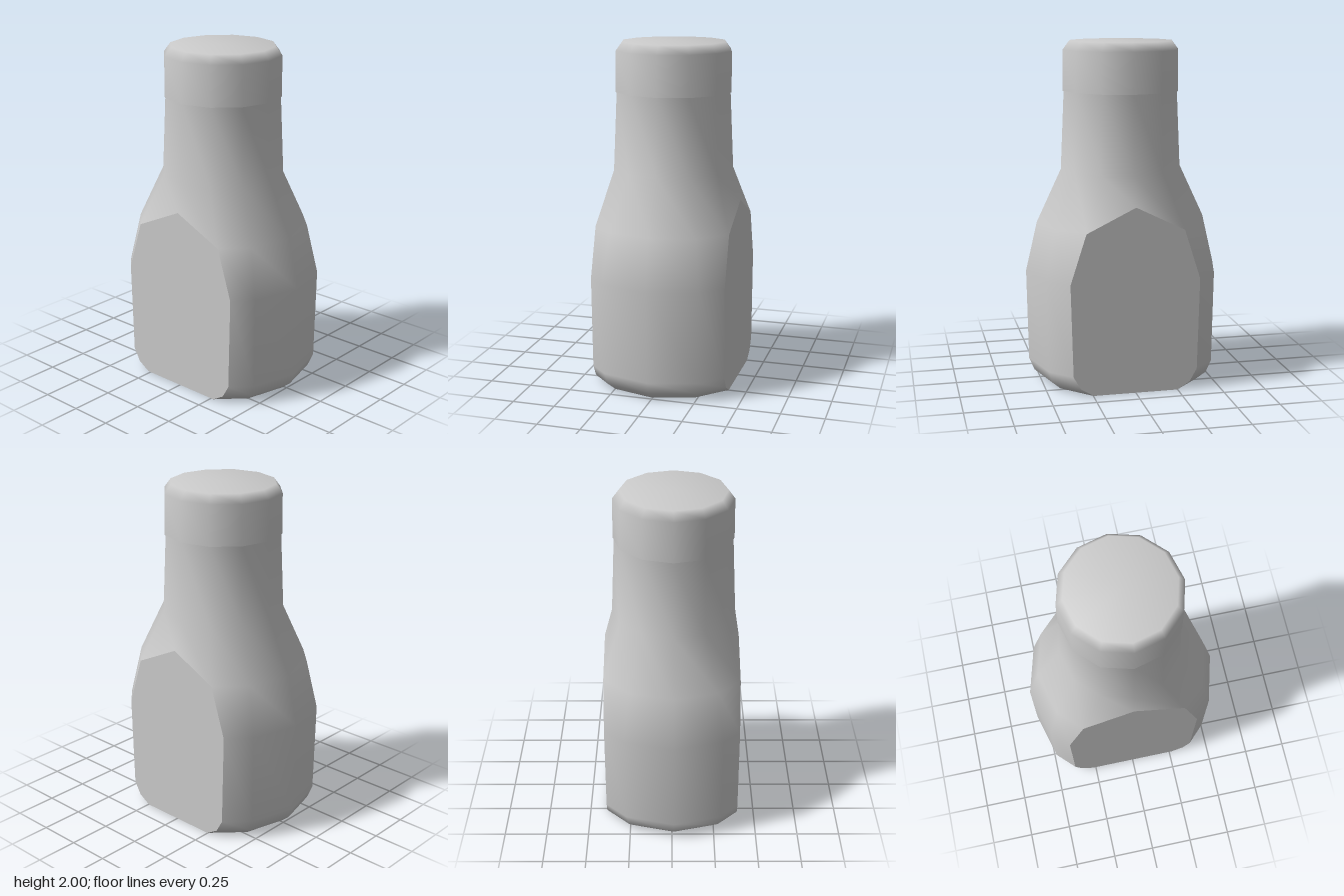
import * as THREE from 'three';

const SIDES = 12, FLAT = 0.395, CENTRE_Z = 0.01;

// One 12-sided ring; wide rings are cut off flat at the front and back.
function makeRing([y, r]) {
  const at = (k) => {
    const a = (k * Math.PI * 2) / SIDES;
    return new THREE.Vector3(r * Math.cos(a), y, CENTRE_Z + r * Math.sin(a));
  };
  const points = Array.from({ length: SIDES }, (_, k) => at(k));
  const cut = r > 0.45;
  if (cut) {
    for (const [k, outer] of [[2, 1], [4, 5], [8, 7], [10, 11]]) {
      const plane = k < 6 ? FLAT : -FLAT;
      const from = at(outer), to = at(k);
      points[k].lerpVectors(from, to, (plane - from.z) / (to.z - from.z));
      points[k].z = plane;
    }
    points[3].set(0, y, FLAT);
    points[9].set(0, y, -FLAT);
  }
  return { points, cut };
}

// Smooth skin through the rings, left open where the flat panels sit.
function skin(rings) {
  const positions = [], index = [];
  rings.forEach((ring) => ring.points.forEach((p) => positions.push(p.x, p.y, p.z)));
  for (let i = 0; i < rings.length - 1; i++) {
    for (let k = 0; k < SIDES; k++) {
      if (rings[i].cut && rings[i + 1].cut && [2, 3, 8, 9].includes(k)) continue;
      const n = (k + 1) % SIDES;
      const a = i * SIDES + k, b = i * SIDES + n;
      const c = b + SIDES, d = a + SIDES;
      index.push(a, d, c, a, c, b);
    }
  }
  const g = new THREE.BufferGeometry();
  g.setAttribute('position', new THREE.Float32BufferAttribute(positions, 3));
  g.setIndex(index);
  g.computeVertexNormals();
  return g;
}

export function createModel() {
  const group = new THREE.Group();
  const material = new THREE.MeshStandardMaterial({ color: 0xcccccc });
  const add = (name, geometry) => {
    const mesh = new THREE.Mesh(geometry, material);
    mesh.name = name;
    group.add(mesh);
    return mesh;
  };

  // Bottle body: base, belly, shoulder and neck as [height, radius]
  const rings = [
    [0, 0], [0, 0.478], [0.045, 0.532], [0.12, 0.563], [0.66, 0.573],
    [0.95, 0.505], [1.26, 0.359], [1.715, 0.338],
  ].map(makeRing);
  // The flats rise to a point on the shoulder
  rings[5].points[3].y = rings[5].points[9].y = 1.09;
  add('bottleBody', skin(rings));

  // Flat panels on front and back
  const cutRings = rings.filter((r) => r.cut);
  for (const [name, right, tip, left, turn] of [
    ['frontPanel', 2, 3, 4, 0],
    ['backPanel', 8, 9, 10, Math.PI],
  ]) {
    const sign = turn ? -1 : 1;
    const outline = [
      ...cutRings.map((r) => r.points[right]),
      cutRings[cutRings.length - 1].points[tip],
      ...cutRings.map((r) => r.points[left]).reverse(),
    ].map((p) => new THREE.Vector2(p.x * sign, p.y));
    const panel = add(name, new THREE.ShapeGeometry(new THREE.Shape(outline)));
    panel.rotation.y = turn;
    panel.position.z = FLAT * sign;
  }

  // Screw cap; the doubled ring keeps its lower lip sharp
  add('cap', skin([
    [1.715, 0.32], [1.715, 0.344], [1.715, 0.344],
    [1.95, 0.342], [2, 0.305], [2, 0],
  ].map(makeRing)));

  return group;
}
